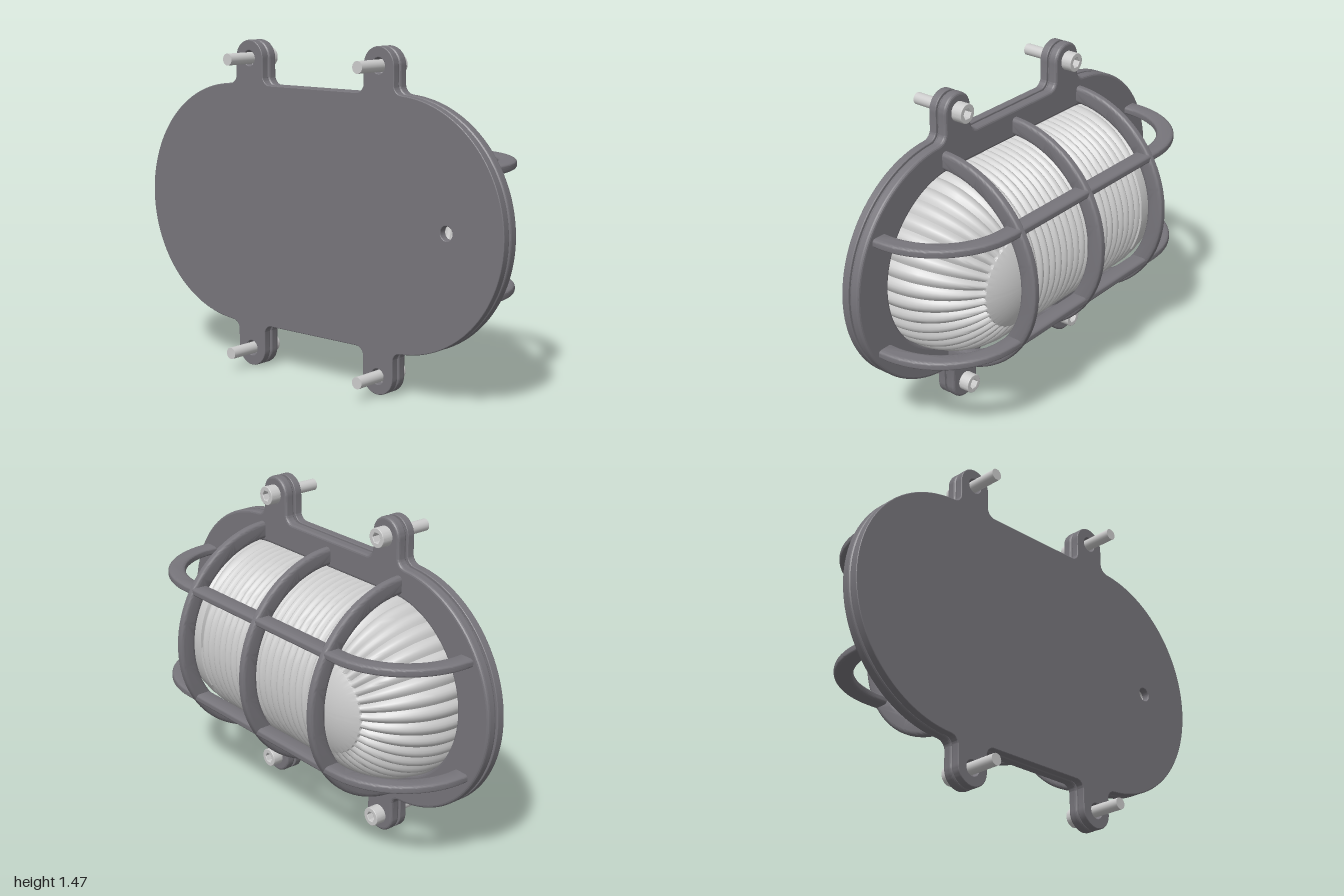
import * as THREE from 'three';
import { toCreasedNormals } from 'three/addons/utils/BufferGeometryUtils.js';

const CY = 0.7375; // height of the lamp's middle
const EAR = { x: 0.367, y: 0.655, r: 0.08 };
const GLASS = { c: 0.41, r: 0.412, z: 0.145, capZ: -0.21 };

const dark = new THREE.MeshStandardMaterial({ color: 0x77757b });
const grey = new THREE.MeshStandardMaterial({ color: 0xcccccc });
const glassMat = new THREE.MeshStandardMaterial({ color: 0xcccccc, side: THREE.DoubleSide });

function add(parent, name, geometry, material) {
  const mesh = new THREE.Mesh(geometry, material);
  mesh.name = name;
  parent.add(mesh);
  return mesh;
}

function circle(x, y, r) {
  return new THREE.Path().absarc(x, y, r, 0, Math.PI * 2);
}

function stadium(c, r) {
  const p = new THREE.Path();
  p.absarc(c, 0, r, -Math.PI / 2, Math.PI / 2);
  p.absarc(-c, 0, r, Math.PI / 2, Math.PI * 1.5);
  p.closePath();
  return p;
}

// Oblong outline with four ears: one quarter, mirrored to the others
function plateShape(holes) {
  const q = new THREE.Path();
  const f = 0.04, xo = EAR.x + EAR.r + f, xi = EAR.x - EAR.r - f;
  q.absarc(0.46, 0, 0.54, 0, Math.acos((xo - 0.46) / 0.54));
  q.absarc(xo, 0.54 + f, f, -Math.PI / 2, -Math.PI, true);
  q.absarc(EAR.x, EAR.y, EAR.r, 0, Math.PI);
  q.absarc(xi, 0.54 + f, f, 0, -Math.PI / 2, true);
  const pts = q.getPoints(16).filter((p, i, a) => i === 0 || p.distanceTo(a[i - 1]) > 0.001);
  const flip = (list, sx, sy) => list.map(p => new THREE.Vector2(p.x * sx, p.y * sy));
  const back = [...pts].reverse();
  const shape = new THREE.Shape([
    ...pts, ...flip(back, -1, 1),
    ...flip(pts, -1, -1).slice(1), ...flip(back, 1, -1).slice(0, -1),
  ]);
  shape.holes.push(...holes);
  for (const sx of [-1, 1]) for (const sy of [-1, 1]) {
    shape.holes.push(circle(sx * EAR.x, sy * EAR.y, 0.033));
  }
  return shape;
}

// Plate from z0 to z1 with rounded edges
function plate(shape, z0, z1, bevel, inset = 0) {
  const g = new THREE.ExtrudeGeometry(shape, {
    depth: z1 - z0 - 2 * bevel, bevelThickness: bevel, bevelSize: bevel,
    bevelOffset: -bevel - inset, bevelSegments: 3, curveSegments: 24,
  });
  g.translate(0, 0, z0 + bevel);
  return toCreasedNormals(g, 0.25);
}

// Arched guard bar, drawn as (span, height) and given a rounded section
function arch(w, top, r, t) {
  const base = -0.165, cy = top - r, cx = w - r, H = Math.PI / 2;
  const s = new THREE.Shape();
  s.moveTo(w, base);
  s.lineTo(w, cy);
  s.absarc(cx, cy, r, 0, H);
  s.absarc(-cx, cy, r, H, Math.PI);
  s.lineTo(-w, base);
  s.lineTo(-w + t, base);
  s.absarc(-cx, cy, r - t, Math.PI, H, true);
  s.absarc(cx, cy, r - t, H, 0, true);
  s.lineTo(w - t, base);
  const g = new THREE.ExtrudeGeometry(s, {
    depth: 0.008, bevelThickness: 0.015, bevelSize: 0.018, bevelOffset: -0.018,
    bevelSegments: 4, curveSegments: 28,
  });
  g.translate(0, 0, -0.004);
  return toCreasedNormals(g, 0.7);
}

// Fluted glass: a half-round profile carried around an oblong, with smooth caps on the domed ends
function glassGeometry() {
  const { c, r, z, capZ } = GLASS, S = 6, depth = 0.016;
  const ring = []; // centre x, direction, flute step, end flag
  const endN = 18 * S, midN = 20 * S;
  for (const side of [1, -1]) {
    for (let k = 0; k < endN; k++) {
      const a = (k / endN - 0.5) * Math.PI;
      ring.push([side * c, side * Math.cos(a), side * Math.sin(a), k, true]);
    }
    for (let k = 0; k < midN; k++) {
      ring.push([side * c * (1 - 2 * k / midN), 0, side, k, false]);
    }
  }
  const capA = Math.asin((z - capZ) / r);
  const angles = [-0.06];
  for (let i = 0; i <= 12; i++) angles.push(capA * i / 12);
  for (let i = 0; i <= 6; i++) angles.push(capA + 0.02 + (Math.PI / 2 - capA - 0.02) * i / 6);

  const pos = [], idx = [], N = ring.length;
  for (const a of angles) {
    for (const [cx, dx, dy, k, isEnd] of ring) {
      const groove = isEnd && a > capA ? 0 : depth * (1 - Math.abs(Math.sin(k * Math.PI / S)));
      const R = r - groove, rad = R * Math.cos(a);
      pos.push(cx + dx * rad, dy * rad, z - R * Math.sin(a));
    }
  }
  for (let v = 0; v < angles.length - 1; v++) {
    for (let u = 0; u < N; u++) {
      const a = v * N + u, b = v * N + (u + 1) % N;
      idx.push(a, a + N, b, b, a + N, b + N);
    }
  }
  const g = new THREE.BufferGeometry();
  g.setAttribute('position', new THREE.Float32BufferAttribute(pos, 3));
  g.setIndex(idx);
  return toCreasedNormals(g, 0.7);
}

// Socket-head bolt along z
function makeBolt() {
  const bolt = new THREE.Group();
  bolt.name = 'bolt';
  const head = new THREE.Shape().absarc(0, 0, 0.043, 0, Math.PI * 2);
  const hex = [];
  for (let i = 0; i < 6; i++) {
    hex.push(new THREE.Vector2(Math.cos(i * Math.PI / 3), Math.sin(i * Math.PI / 3)).multiplyScalar(0.024));
  }
  head.holes.push(new THREE.Path(hex));
  add(bolt, 'boltHead', plate(head, 0.08, 0.14, 0.003), grey);
  const shaft = new THREE.CylinderGeometry(0.026, 0.026, 0.235, 24).rotateX(Math.PI / 2);
  add(bolt, 'boltShaft', shaft.translate(0, 0, 0.2375), grey);
  return bolt;
}

export function createModel() {
  const model = new THREE.Group();
  model.name = 'bulkheadLamp';
  const lamp = new THREE.Group();
  lamp.name = 'lampBody';
  lamp.position.y = CY;
  model.add(lamp);

  // Mounting plate with cable hole, seal and front bezel
  add(lamp, 'backPlate', plate(plateShape([circle(0.72, 0, 0.03)]), 0.184, 0.22, 0.004), dark);
  add(lamp, 'seal', plate(plateShape([stadium(GLASS.c, 0.41)]), 0.172, 0.19, 0.002, 0.012), dark);
  add(lamp, 'bezel', plate(plateShape([stadium(GLASS.c, 0.412)]), 0.13, 0.178, 0.012), dark);

  add(lamp, 'flutedGlass', glassGeometry(), glassMat);

  // Guard cage: three hoops across, two bars along
  const X = new THREE.Vector3(1, 0, 0), Y = new THREE.Vector3(0, 1, 0), back = new THREE.Vector3(0, 0, -1);
  const hoop = arch(0.505, 0.355, 0.5, 0.08)
    .applyMatrix4(new THREE.Matrix4().makeBasis(Y, back, X.clone().negate()));
  for (const x of [-0.455, 0, 0.455]) add(lamp, 'guardHoop', hoop, dark).position.x = x;
  const bar = arch(0.9, 0.28, 0.39, 0.08)
    .applyMatrix4(new THREE.Matrix4().makeBasis(X, back, Y));
  for (const y of [-0.26, 0.26]) add(lamp, 'guardBar', bar, dark).position.y = y;

  // A bolt through each ear
  for (const sx of [-1, 1]) for (const sy of [-1, 1]) {
    const bolt = makeBolt();
    bolt.position.set(sx * EAR.x, sy * EAR.y, 0);
    lamp.add(bolt);
  }
  return model;
}
